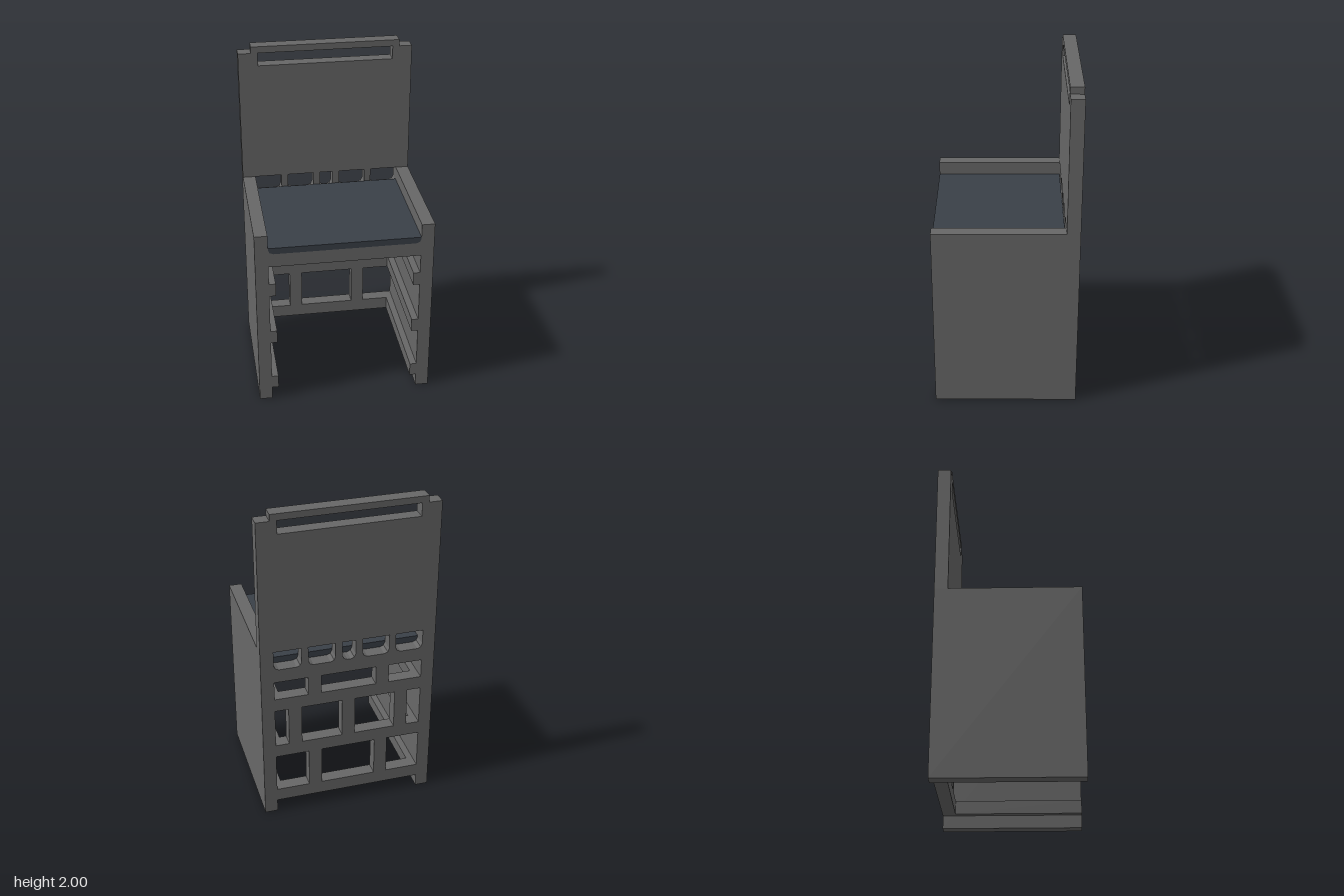
import * as THREE from 'three';

const W = 0.528, IN = 0.45, D = 0.427, BACK = -0.347;

function polygon(points) {
  return new THREE.Shape(points.map(([x, y]) => new THREE.Vector2(x, y)));
}

function extrude(shape, z0, z1) {
  const g = new THREE.ExtrudeGeometry(shape, { depth: z1 - z0, bevelEnabled: false });
  return g.translate(0, 0, z0);
}

export function createModel() {
  const group = new THREE.Group();
  const frame = new THREE.MeshStandardMaterial({ name: 'frame grey', color: 0x676767 });
  const slate = new THREE.MeshStandardMaterial({ name: 'seat slate', color: 0x3a4048 });

  const add = (name, geometry, material) => {
    const mesh = new THREE.Mesh(geometry, material);
    mesh.name = name;
    group.add(mesh);
  };
  const box = (name, x0, x1, y0, y1, z0, z1) => {
    const g = new THREE.BoxGeometry(x1 - x0, y1 - y0, z1 - z0);
    g.translate((x0 + x1) / 2, (y0 + y1) / 2, (z0 + z1) / 2);
    add(name, g, frame);
  };

  // Side panels with three drawer runners each
  for (const [s, side] of [[1, 'left'], [-1, 'right']]) {
    const span = (a, b) => (s > 0 ? [a, b] : [-b, -a]);
    box(side + 'SidePanel', ...span(IN, W), 0, 1.145, -D, D);
    for (const y of [0.08, 0.41, 0.74]) {
      box(side + 'Runner', ...span(0.41, IN), y, y + 0.082, BACK, D);
    }
  }

  // Back panel: lower edges tuck into the side panels
  const t = 0.46;
  const back = polygon([
    [-t, 0.08], [t, 0.08], [t, 1.145], [W, 1.145], [W, 1.96], [IN, 1.96], [IN, 2],
    [-IN, 2], [-IN, 1.96], [-W, 1.96], [-W, 1.145], [-t, 1.145],
  ]);
  const hole = (x0, x1, y0, y1, c = 0) => {
    const pts = c
      ? [[x0, y1], [x0, y0 + c], [x0 + c * 0.3, y0 + c * 0.3], [x0 + c, y0],
        [x1 - c, y0], [x1 - c * 0.3, y0 + c * 0.3], [x1, y0 + c], [x1, y1]]
      : [[x0, y1], [x0, y0], [x1, y0], [x1, y1]];
    back.holes.push(polygon(pts));
  };
  hole(-0.41, 0.41, 1.88, 1.96); // handle slot

  // Brick-like openings: bottom, top, uprights between them, corner size
  const rows = [
    [0.162, 0.41, [[-0.247, -0.167], [0.167, 0.247]], 0],
    [0.492, 0.74, [[-0.368, -0.288], [-0.04, 0.04], [0.288, 0.368]], 0],
    [0.822, 0.94, [[-0.247, -0.167], [0.167, 0.247]], 0],
    [1.024, 1.145, [[-0.285, -0.245], [-0.082, -0.04], [0.04, 0.082], [0.245, 0.285]], 0.03],
  ];
  for (const [y0, y1, bars, c] of rows) {
    let x = -IN;
    for (const [a, b] of [...bars, [IN, IN]]) {
      hole(x, a, y0, y1, c);
      x = b;
    }
  }
  add('backPanel', extrude(back, -D, BACK), frame);

  // Seat board with a shallow tray that holds the cushion
  const tray = [[IN, 1.063], [IN, 1.054], [0.441, 1.033], [0.42, 1.024]];
  const mirrored = tray.map(([x, y]) => [-x, y]).reverse();
  add('seatBoard', extrude(polygon([
    [-IN, 0.94], [IN, 0.94], ...tray.slice(1), ...mirrored.slice(0, -1),
  ]), BACK, D), frame);
  add('seatCushion', extrude(polygon([...tray, ...mirrored]), BACK, D), slate);

  return group;
}
